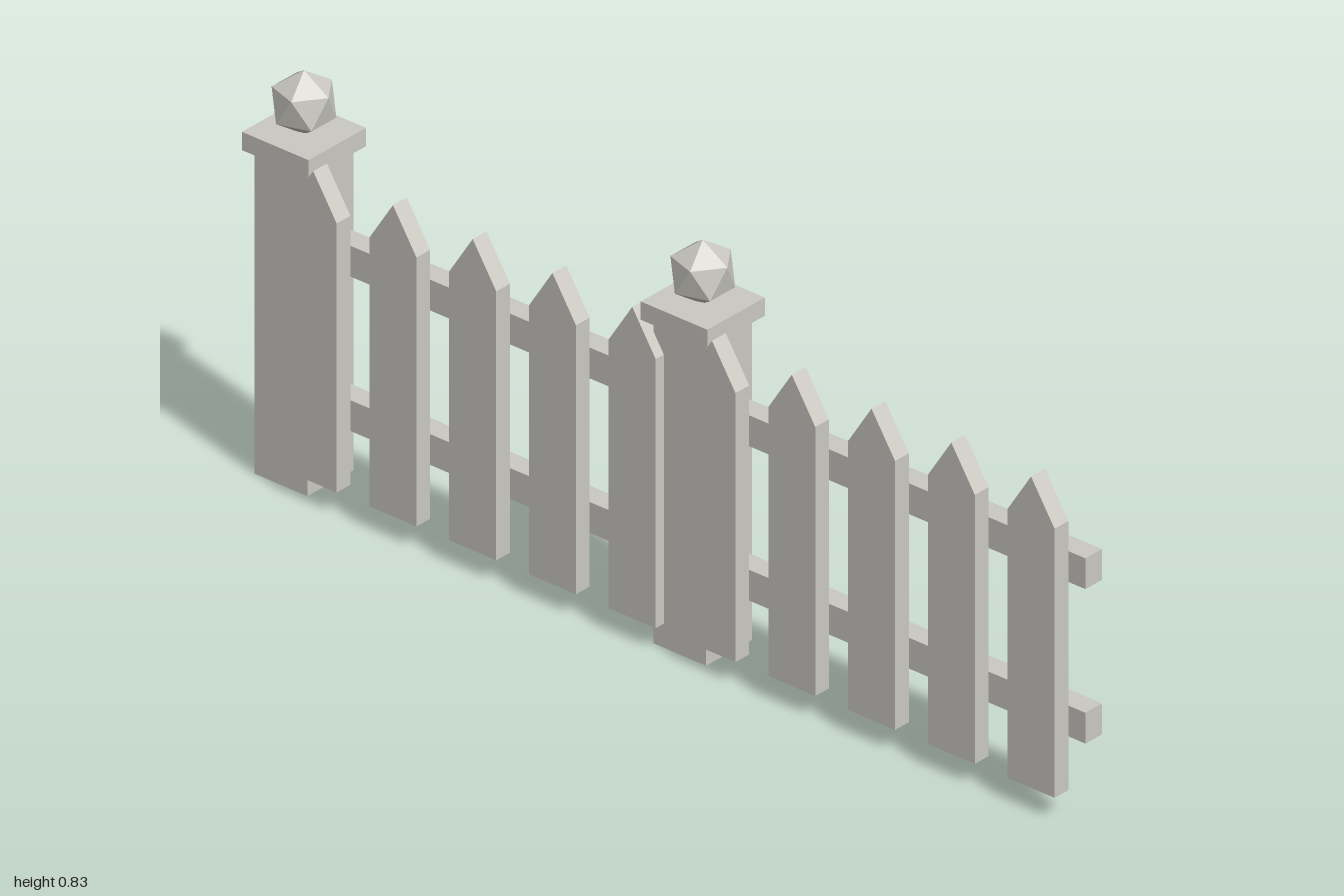
import * as THREE from 'three';

const paint = new THREE.MeshStandardMaterial({ color: 0xcbc9c2 });
paint.name = 'weathered white';
paint.flatShading = true;

const PITCH = 0.959;   // length of one fence section
const PICKETS = 5;     // pickets in each section

function add(parent, geometry, name, x, y, z) {
  const mesh = new THREE.Mesh(geometry, paint);
  mesh.name = name;
  mesh.position.set(x, y, z);
  parent.add(mesh);
}

// Pointed board, base at y = 0, back face at z = 0
function picketGeometry(width, shoulder, height, depth) {
  const w = width / 2;
  const shape = new THREE.Shape([
    new THREE.Vector2(-w, 0),
    new THREE.Vector2(w, 0),
    new THREE.Vector2(w, shoulder),
    new THREE.Vector2(0, height),
    new THREE.Vector2(-w, shoulder),
  ]);
  return new THREE.ExtrudeGeometry(shape, { depth, bevelEnabled: false });
}

export function createModel() {
  const fence = new THREE.Group();
  fence.name = 'picketFence';

  const post = new THREE.BoxGeometry(0.127, 0.675, 0.127);
  const cap = new THREE.BoxGeometry(0.16, 0.038, 0.159);
  const rail = new THREE.BoxGeometry(PITCH, 0.064, 0.046);
  const picket = picketGeometry(0.113, 0.559, 0.647, 0.038);

  // Faceted ball standing on one of its corners
  const finial = new THREE.IcosahedronGeometry(0.066, 0);
  finial.rotateZ(-Math.atan(2 / (1 + Math.sqrt(5))));

  for (let s = 0; s < 2; s++) {
    const section = new THREE.Group();
    section.name = s === 0 ? 'rightSection' : 'leftSection';
    section.position.x = -0.921 + s * PITCH;
    fence.add(section);

    // Post with cap and ball
    add(section, post, 'post', 0, 0.3375, -0.003);
    add(section, cap, 'postCap', 0, 0.692, -0.003);
    add(section, finial, 'finial', 0, 0.769, -0.003);

    // Rails run from the post centre to the end of the section
    add(section, rail, 'lowerRail', 0.002 + PITCH / 2, 0.193, 0.021);
    add(section, rail, 'upperRail', 0.002 + PITCH / 2, 0.514, 0.021);

    // Pickets fixed to the front of the rails
    for (let i = 0; i < PICKETS; i++) {
      add(section, picket, 'picket', 0.097 + (i * PITCH) / PICKETS, 0.05, 0.045);
    }
  }
  return fence;
}
